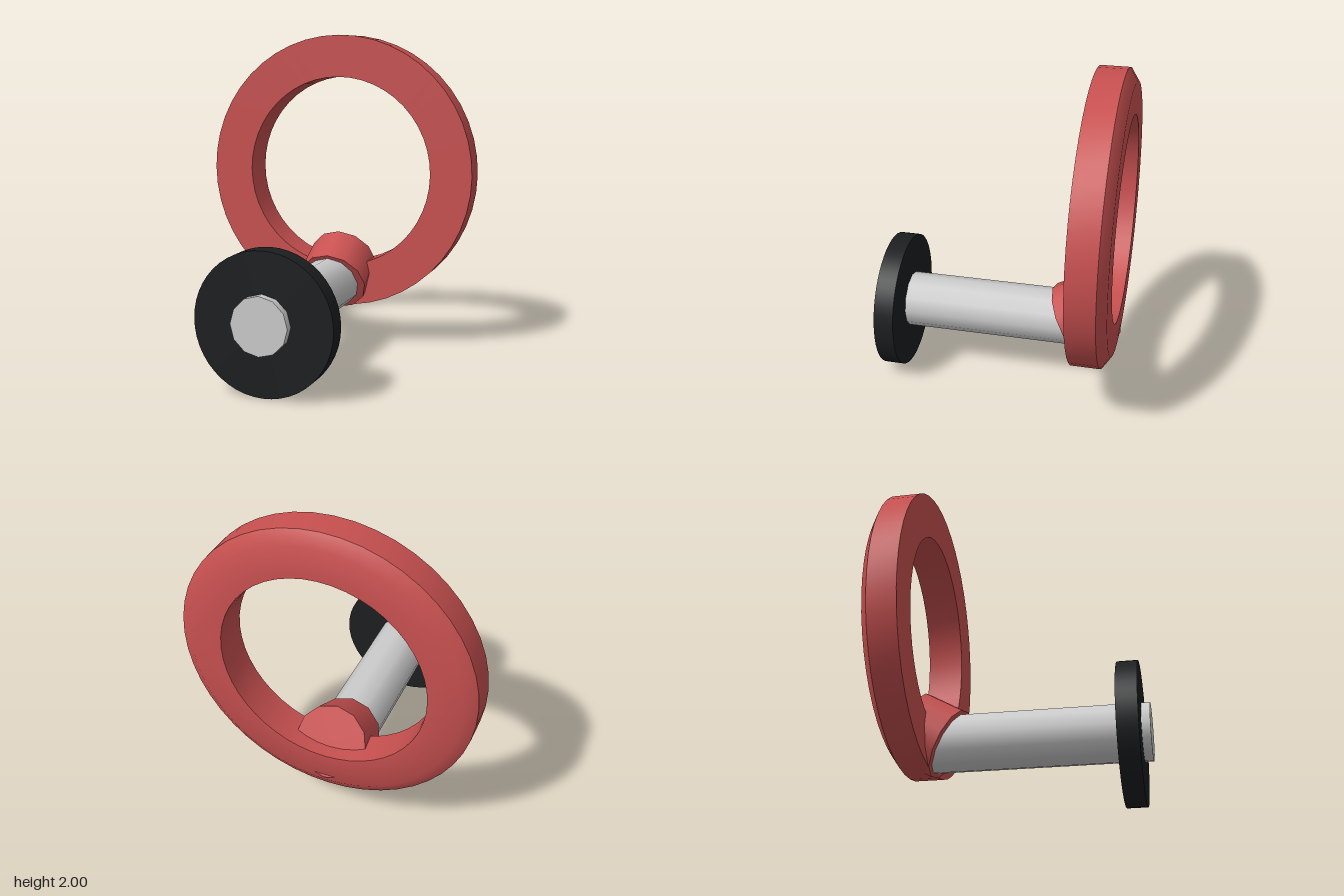
import * as THREE from 'three';
import { toCreasedNormals } from 'three/addons/utils/BufferGeometryUtils.js';

const material = (color) => new THREE.MeshStandardMaterial({ color });

export function createModel() {
  const model = new THREE.Group();
  const red = material(0xc85050);
  const black = material(0x1c1e20);
  const grey = material(0xcccccc);

  const add = (name, geometry, mat, y, z) => {
    const mesh = new THREE.Mesh(geometry, mat);
    mesh.name = name;
    mesh.position.set(0, y, z);
    model.add(mesh);
    return mesh;
  };

  // Pull ring: flat front, chamfered outer edge at the back
  const profile = [[0.61, 0], [0.875, 0], [0.875, 0.17], [0.8, 0.22], [0.61, 0.22], [0.61, 0]]
    .map(([r, depth]) => new THREE.Vector2(r, depth));
  const ring = toCreasedNormals(new THREE.LatheGeometry(profile, 48), 0.75);
  add('ring', ring.rotateX(-Math.PI / 2), red, 1.125, -0.52);

  // Tilted collar joining the shaft to the ring
  const collar = new THREE.CylinderGeometry(0.218, 0.218, 0.25, 12);
  add('collar', collar.rotateX(-1.066), red, 0.48, -0.534);

  // Shaft running front to back
  const shaft = new THREE.CylinderGeometry(0.17, 0.17, 1.28, 12);
  add('shaft', shaft.rotateX(Math.PI / 2), grey, 0.42, 0.11);

  // Disc near the front end
  const disc = new THREE.CylinderGeometry(0.415, 0.415, 0.12, 48);
  add('disc', disc.rotateX(Math.PI / 2), black, 0.415, 0.64);

  return model;
}
